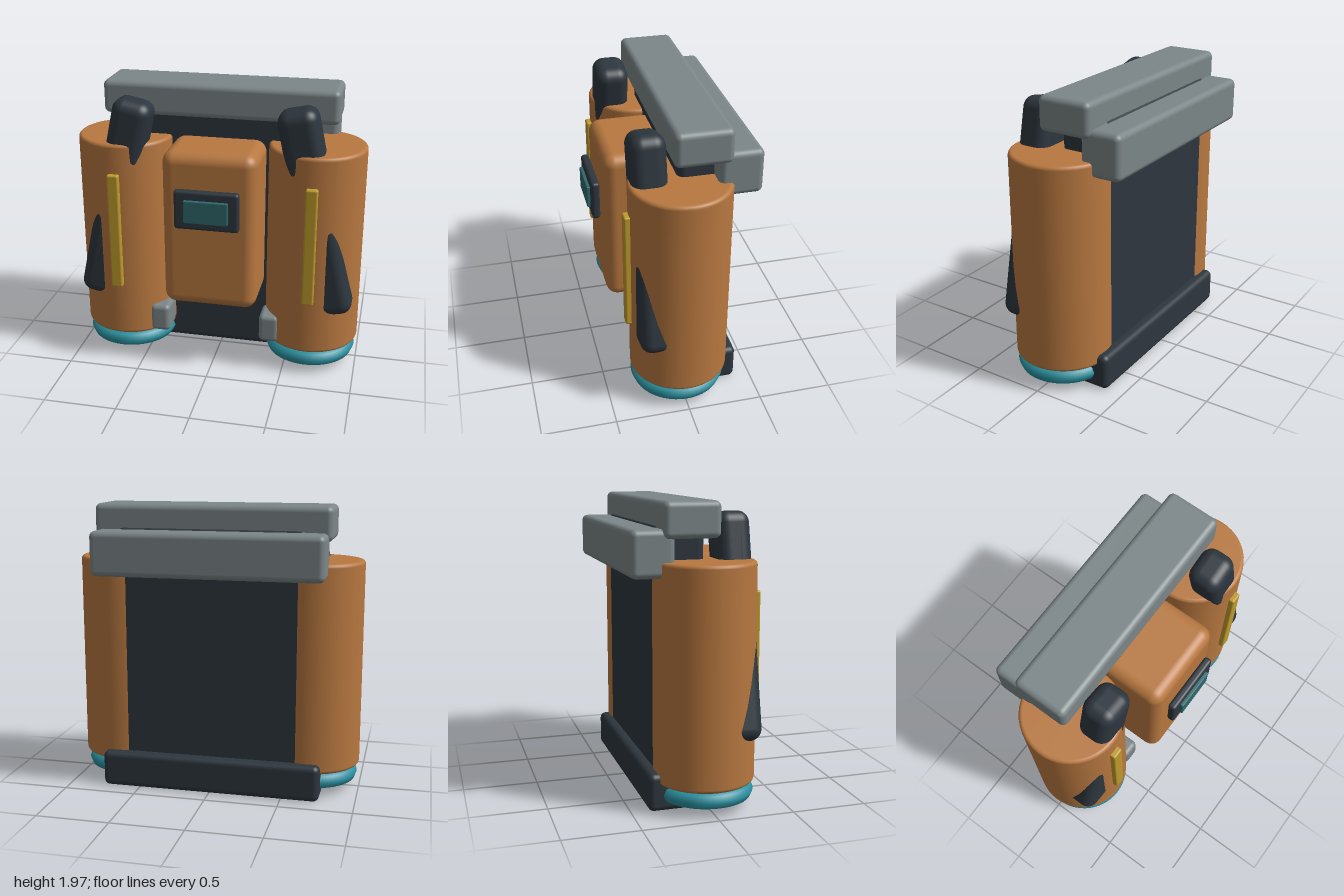
import * as THREE from 'three';
import { RoundedBoxGeometry } from 'three/addons/geometries/RoundedBoxGeometry.js';

const mat = (name, color) => {
  const m = new THREE.MeshStandardMaterial({ color });
  m.name = name;
  return m;
};

export function createModel() {
  const orange = mat('burnt orange', 0xb87840);
  const dark = mat('dark slate', 0x2d363e);
  const grey = mat('grey', 0x7c8688);
  const teal = mat('teal', 0x2b93a3);
  const yellow = mat('yellow', 0xbe9a2c);
  const glass = mat('screen teal', 0x2f686c);

  const model = new THREE.Group();
  model.name = 'jetBackpack';

  const add = (name, geometry, material, parent = model) => {
    const mesh = new THREE.Mesh(geometry, material);
    mesh.name = name;
    parent.add(mesh);
    return mesh;
  };
  // Rounded box given by its extents on each axis
  const box = (name, [x0, x1], [y0, y1], [z0, z1], r, material, parent = model) => {
    const mesh = add(name, new RoundedBoxGeometry(x1 - x0, y1 - y0, z1 - z0, 4, r), material, parent);
    mesh.position.set((x0 + x1) / 2, (y0 + y1) / 2, (z0 + z1) / 2);
    return mesh;
  };

  // Frame and cross bars
  box('backPlate', [-0.65, 0.65], [0.015, 1.82], [-0.32, 0.01], 0.05, dark);
  box('topBar', [-0.805, 0.805], [1.74, 1.97], [-0.3, 0.07], 0.04, grey);
  box('rearBar', [-0.78, 0.78], [1.5, 1.8], [-0.5, -0.22], 0.04, grey);
  box('lowerBar', [-0.76, 0.76], [0, 0.25], [-0.39, -0.11], 0.04, dark);

  // Central housing with its display
  box('centreHousing', [-0.32, 0.32], [0.5, 1.6], [-0.05, 0.41], 0.08, orange);
  box('displayFrame', [-0.217, 0.217], [1.1, 1.37], [0.425, 0.48], 0.02, dark);
  box('displayScreen', [-0.147, 0.147], [1.155, 1.31], [0.47, 0.502], 0.006, glass);

  // Pod profile: a cylinder with softly rounded rims
  const R = 0.33, y0 = 0.175, y1 = 1.6, b = 0.025;
  const profile = [new THREE.Vector2(0, y0)];
  for (const [cy, start] of [[y0 + b, -Math.PI / 2], [y1 - b, 0]]) {
    for (let i = 0; i <= 4; i++) {
      const a = start + (i / 4) * Math.PI / 2;
      profile.push(new THREE.Vector2(R - b + b * Math.cos(a), cy + b * Math.sin(a)));
    }
  }
  profile.push(new THREE.Vector2(0, y1));
  const podGeometry = new THREE.LatheGeometry(profile, 48);
  const ringGeometry = new THREE.TorusGeometry(0.262, 0.056, 8, 48).rotateX(Math.PI / 2);
  const nozzleGeometry = new THREE.CylinderGeometry(0.23, 0.23, 0.07, 40);
  const strapGeometry = new RoundedBoxGeometry(0.27, 1.46, 0.23, 5, 0.08);

  // Mirrored side assemblies
  for (const [side, s] of [['left', 1], ['right', -1]]) {
    const g = new THREE.Group();
    g.name = side + 'Thruster';
    model.add(g);

    add('pod', podGeometry, orange, g).position.set(s * 0.668, 0, 0);
    add('exhaustRing', ringGeometry, teal, g).position.set(s * 0.665, 0.108, 0.008);
    add('exhaustNozzle', nozzleGeometry, dark, g).position.set(s * 0.665, 0.115, 0.008);

    // Slanted strap passing through the pod
    const strap = add('strap', strapGeometry, dark, g);
    strap.position.set(s * 0.69, 1.17, 0.195);
    strap.rotation.z = s * 0.213;

    const span = (a, c) => (s > 0 ? [a, c] : [-c, -a]);
    box('lightStrip', span(0.63, 0.71), [0.565, 1.395], [0.3, 0.365], 0.012, yellow, g);
    box('clip', span(0.323, 0.467), [0.185, 0.39], [0.06, 0.26], 0.035, grey, g);
  }

  return model;
}
